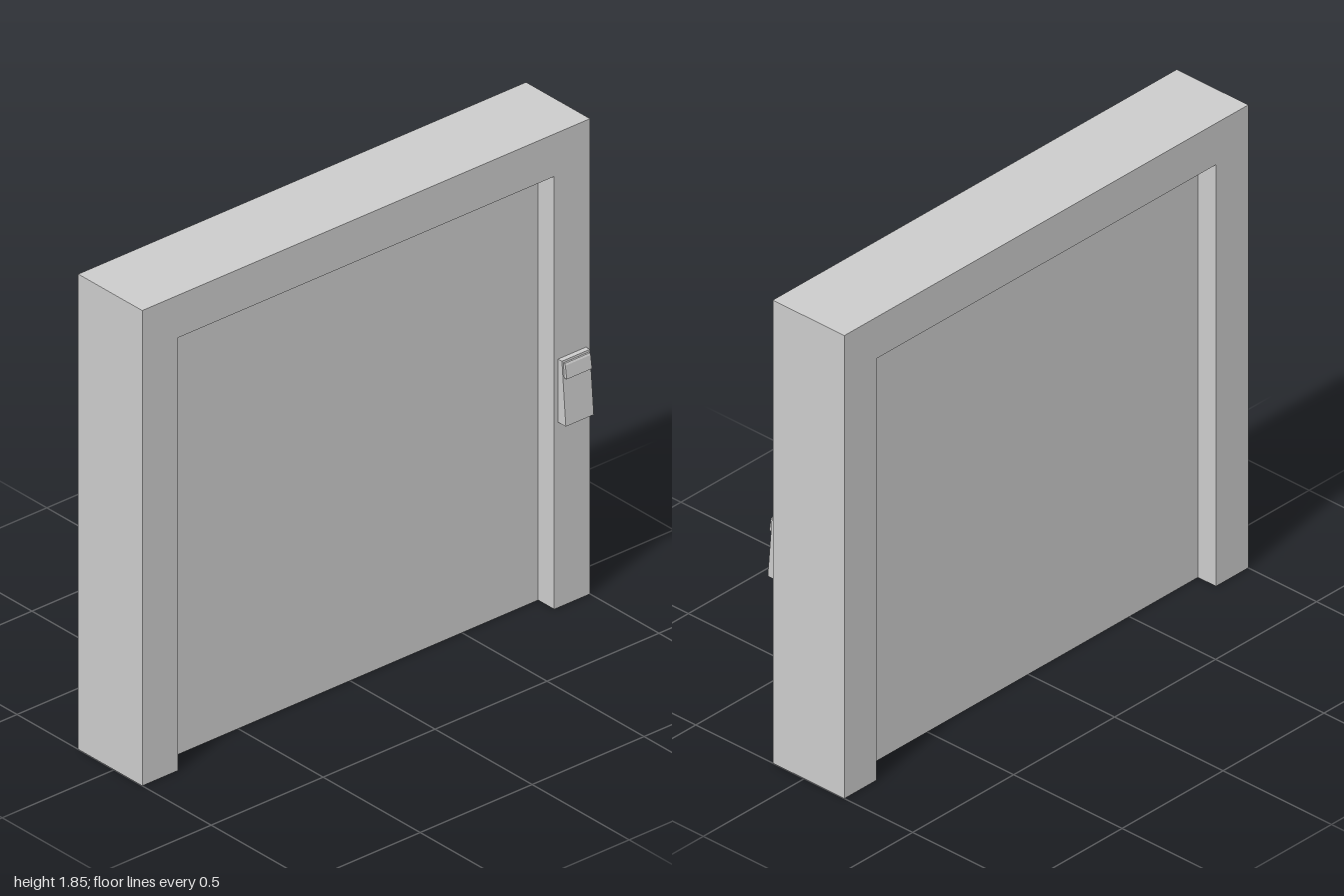
import * as THREE from 'three';

const mat = new THREE.MeshStandardMaterial({ color: 0xcccccc, flatShading: true, side: THREE.DoubleSide });

// Frame and door dimensions (walls are hollow shells, open at the floor)
const X0 = -0.185, X1 = 0.145;           // frame faces
const D0 = -0.102, D1 = 0.062;           // door faces
const H = 1.845, W = 1;                  // outer height, half width
const OH = 1.68, OW = 0.84;              // opening height, half width

function add(parent, name, geometry) {
  const mesh = new THREE.Mesh(geometry, mat);
  mesh.name = name;
  parent.add(mesh);
  return mesh;
}

// Flat sheet from [z, y] corners, facing +x or -x
function sheet(points, x, side) {
  const shape = new THREE.Shape(points.map(([z, y]) => new THREE.Vector2(-side * z, y)));
  return new THREE.ShapeGeometry(shape).rotateY(side * Math.PI / 2).translate(x, 0, 0);
}

// Open strip: a chain of points, each swept along an offset vector
function strip(points, offset) {
  const pos = [];
  for (let i = 0; i < points.length - 1; i++) {
    const a = points[i], b = points[i + 1];
    const c = b.map((v, k) => v + offset[k]), d = a.map((v, k) => v + offset[k]);
    pos.push(...a, ...b, ...c, ...a, ...c, ...d);
  }
  const g = new THREE.BufferGeometry();
  g.setAttribute('position', new THREE.Float32BufferAttribute(pos, 3));
  g.computeVertexNormals();
  return g;
}

// Prism from an [x, y] side profile, spanning z0..z1
function prism(profile, z0, z1) {
  const shape = new THREE.Shape(profile.map(([x, y]) => new THREE.Vector2(x, y)));
  return new THREE.ExtrudeGeometry(shape, { depth: z1 - z0, bevelEnabled: false }).translate(0, 0, z0);
}

export function createModel() {
  const model = new THREE.Group();
  model.name = 'slidingDoor';

  // Door frame: two arch-shaped faces joined by outer and inner walls
  const frame = new THREE.Group();
  frame.name = 'doorFrame';
  model.add(frame);
  const outer = [[-W, 0], [-W, H], [W, H], [W, 0]];
  const inner = [[OW, 0], [OW, OH], [-OW, OH], [-OW, 0]];
  const arch = [...outer, ...inner];
  const depth = [X1 - X0, 0, 0];
  const at = ([z, y]) => [X0, y, z];
  add(frame, 'frameFaceRight', sheet(arch, X1, 1));
  add(frame, 'frameFaceLeft', sheet(arch, X0, -1));
  add(frame, 'frameOuterWall', strip(outer.map(at), depth));
  add(frame, 'frameInnerWall', strip(inner.map(at), depth));

  // Two door leaves, recessed equally on both sides
  for (const s of [1, -1]) {
    const leaf = new THREE.Group();
    leaf.name = s > 0 ? 'doorLeafFront' : 'doorLeafBack';
    const rect = [[0, 0], [s * OW, 0], [s * OW, OH], [0, OH]];
    add(leaf, 'leafFaceRight', sheet(rect, D1, 1));
    add(leaf, 'leafFaceLeft', sheet(rect, D0, -1));
    model.add(leaf);
  }

  // Tongue-and-groove seam where the leaves meet
  const seam = [[D1, 0], [0, 0], [0, -0.05], [-0.04, -0.05], [-0.04, 0], [D0, 0]];
  add(model, 'doorSeam', strip(seam.map(([x, z]) => [x, 0, z]), [0, OH, 0]));

  // Wedge-shaped control panel with a raised screen
  const panel = new THREE.Group();
  panel.name = 'controlPanel';
  model.add(panel);
  add(panel, 'panelBody', prism([[X1, 0.72], [0.185, 0.72], [0.165, 0.965], [X1, 0.965]], -0.982, -0.857));
  add(panel, 'panelScreen', prism([[0.168, 0.9], [0.183, 0.9], [0.176, 0.95], [0.172, 0.957], [0.163, 0.957]], -0.976, -0.863));

  return model;
}
